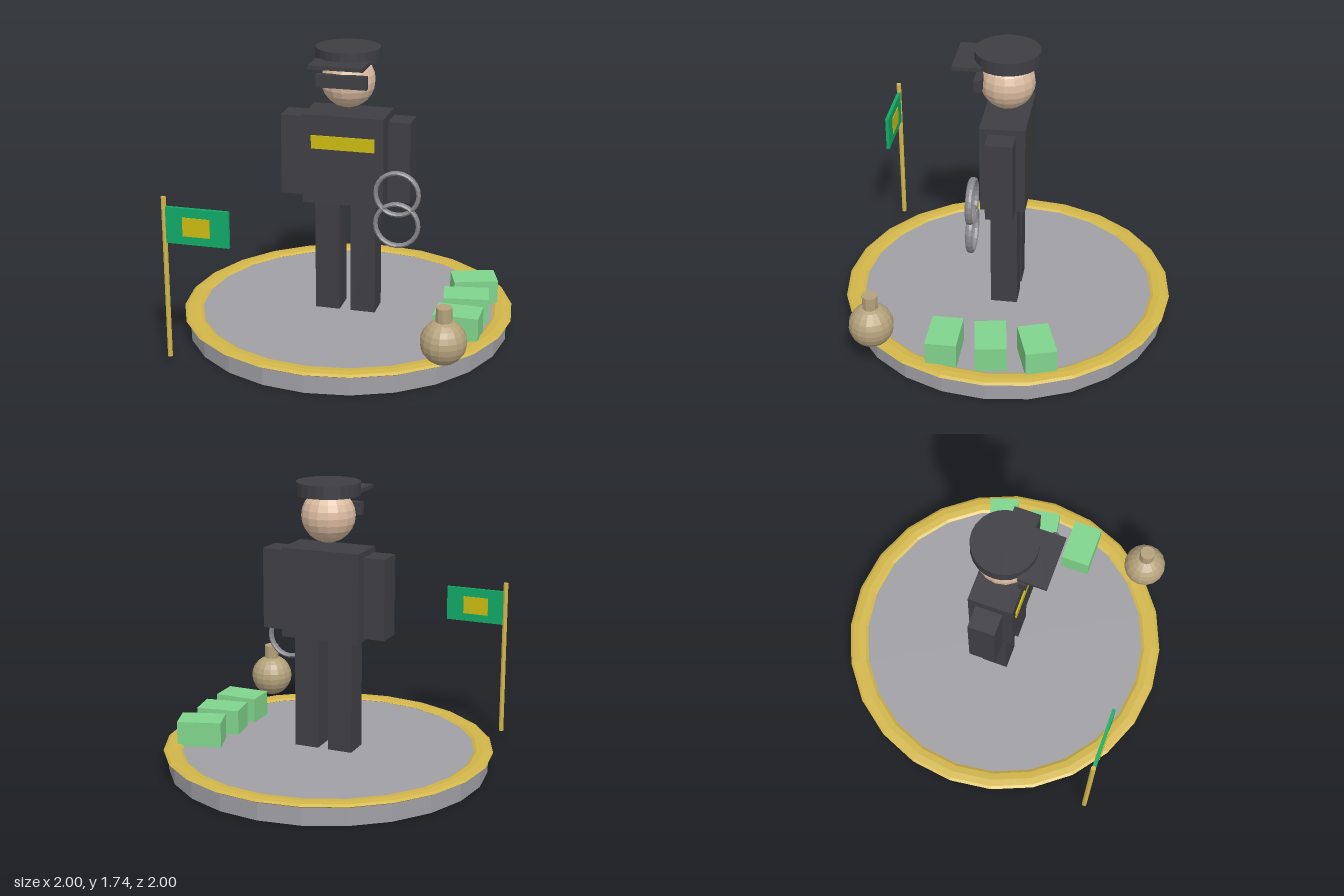
import * as THREE from 'three';

const paint = (name, color) => {
  const m = new THREE.MeshStandardMaterial({ color, flatShading: true });
  m.name = name;
  return m;
};

export function createModel() {
  const model = new THREE.Group();
  model.name = 'officerOnPlinth';

  const cloth = paint('dark uniform', 0x3f3e43);
  const stone = paint('grey stone', 0xa09fa4);
  const gold = paint('gold trim', 0xd2b64a);
  const skin = paint('skin', 0xdcbca2);
  const yellow = paint('yellow', 0xccbc10);
  const green = paint('flag green', 0x10aa68);
  const mint = paint('banknote green', 0x80d48c);
  const sack = paint('sack tan', 0xb5a27c);
  const steel = paint('steel', 0x88888c);

  const add = (name, geometry, material, x, y, z) => {
    const mesh = new THREE.Mesh(geometry, material);
    mesh.name = name;
    mesh.position.set(x, y, z);
    model.add(mesh);
    return mesh;
  };
  const box = (name, material, w, h, d, x, y, z) =>
    add(name, new THREE.BoxGeometry(w, h, d), material, x, y, z);
  const cylinder = (name, material, r, h, sides, x, y, z) =>
    add(name, new THREE.CylinderGeometry(r, r, h, sides), material, x, y, z);

  // Round plinth with a flattened gold rim
  cylinder('plinth', stone, 0.97, 0.12, 24, 0, 0.06, 0);
  const rim = add('plinthRim', new THREE.TorusGeometry(0.943, 0.057, 8, 24), gold, 0, 0.123, 0);
  rim.rotation.x = Math.PI / 2;
  rim.scale.z = 0.25;

  // Body, with mirrored limbs
  box('torso', cloth, 0.486, 0.54, 0.265, 0, 1.082, 0);
  for (const [side, s] of [['left', 1], ['right', -1]]) {
    box(side + 'Arm', cloth, 0.132, 0.486, 0.16, s * 0.324, 1.083, 0);
    box(side + 'Leg', cloth, 0.15, 0.7, 0.16, s * 0.109, 0.467, 0);
  }
  box('chestStripe', yellow, 0.38, 0.08, 0.009, 0, 1.19, 0.1375);

  // Head, glasses and peaked cap
  add('head', new THREE.SphereGeometry(0.16, 16, 12), skin, 0, 1.54, 0);
  box('glasses', cloth, 0.3, 0.075, 0.045, 0, 1.567, 0.153);
  cylinder('cap', cloth, 0.19, 0.077, 24, 0, 1.702, 0);
  box('capPeak', cloth, 0.32, 0.024, 0.17, 0, 1.677, 0.213);

  // Pair of handcuffs
  for (const [name, y] of [['upperCuff', 0.92], ['lowerCuff', 0.73]]) {
    const cuff = add(name, new THREE.TorusGeometry(0.128, 0.0135, 8, 24), steel, 0.333, y, 0.163);
    cuff.scale.z = 1.6;
  }

  // Flag on a pole
  cylinder('flagPole', gold, 0.015, 0.97, 8, -0.84, 0.545, 0.833);
  box('flag', green, 0.37, 0.213, 0.02, -0.645, 0.868, 0.833);
  for (const s of [1, -1]) {
    box(s > 0 ? 'flagPanelFront' : 'flagPanelBack', yellow, 0.16, 0.11, 0.005, -0.65, 0.866, 0.833 + s * 0.0115);
  }

  // Fanned stacks of notes
  [0.27, 0, -0.27].forEach((z, i) => {
    const stack = box('noteStack' + (i + 1), mint, 0.268, 0.155, 0.183, 0.728, 0.197, z);
    stack.rotation.y = i * 0.157;
  });

  // Tied sack
  add('sack', new THREE.SphereGeometry(0.132, 16, 12), sack, 0.725, 0.275, 0.7);
  cylinder('sackNeck', sack, 0.046, 0.09, 10, 0.725, 0.437, 0.7);

  return model;
}
